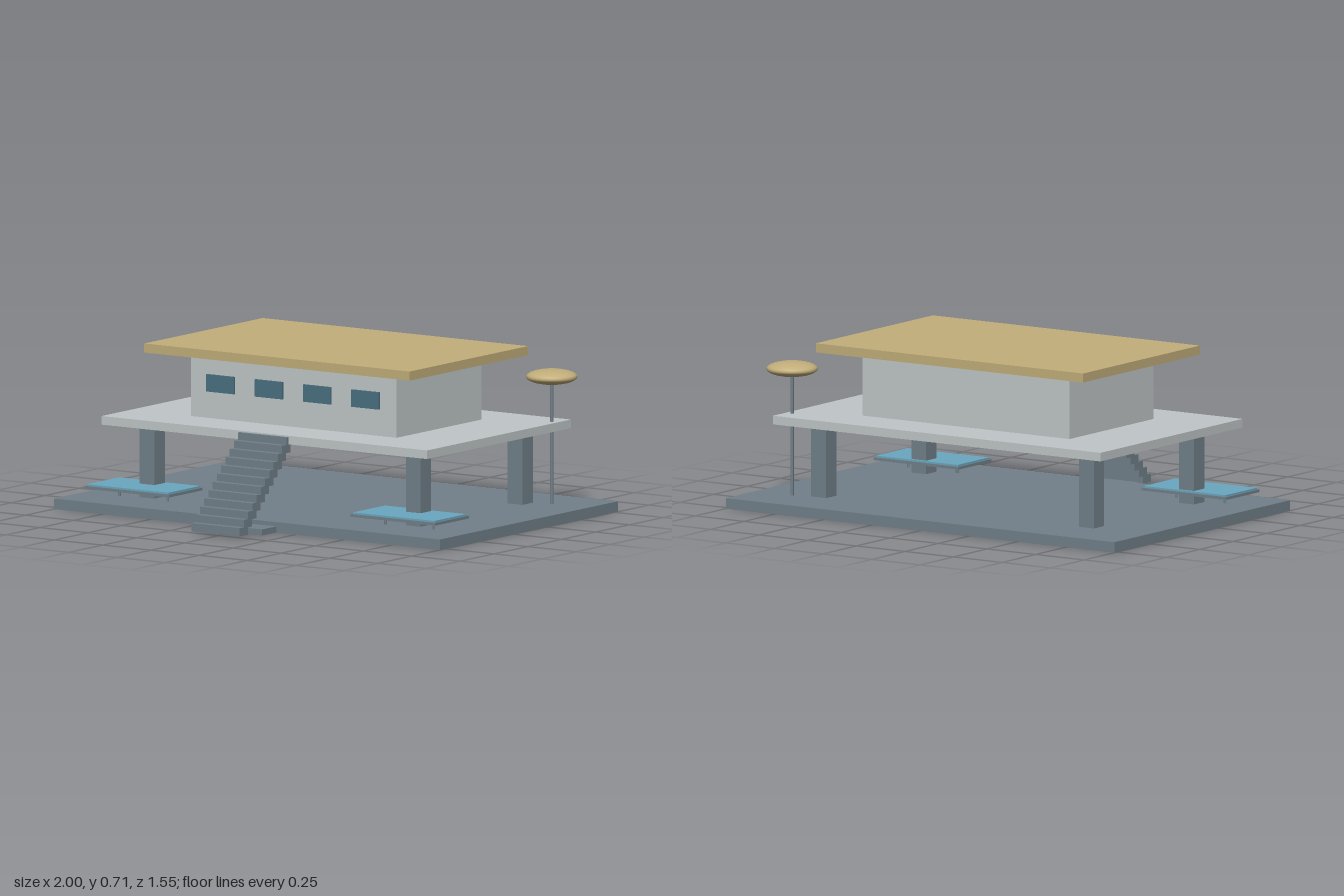
import * as THREE from 'three';

const mat = (name, color) => {
  const m = new THREE.MeshStandardMaterial({ color });
  m.name = name;
  return m;
};

export function createModel() {
  const slate = mat('slate', 0x72808a);
  const concrete = mat('pale concrete', 0xc0c6c8);
  const tan = mat('tan', 0xc2ae7a);
  const water = mat('water blue', 0x6aa8c0);
  const glass = mat('window teal', 0x4a7080);

  const model = new THREE.Group();
  model.name = 'raisedPavilion';

  const add = (name, geometry, material, x, y, z, parent = model) => {
    const mesh = new THREE.Mesh(geometry, material);
    mesh.name = name;
    mesh.position.set(x, y, z);
    parent.add(mesh);
    return mesh;
  };
  // Box centred on x, spanning y0..y1 and z0..z1
  const box = (name, material, x, width, y0, y1, z0, z1, parent) =>
    add(name, new THREE.BoxGeometry(width, y1 - y0, z1 - z0), material,
      x, (y0 + y1) / 2, (z0 + z1) / 2, parent);

  // Ground slab and entrance pad
  box('base', slate, 0, 2, 0, 0.045, -0.773, 0.541);
  box('entrancePad', slate, 0, 0.305, 0.001, 0.027, 0.541, 0.647);

  // Raised deck, house and roof
  box('deck', concrete, 0, 1.685, 0.36, 0.397, -0.649, 0.413);
  box('house', concrete, 0, 1.066, 0.397, 0.671, -0.43, 0.196);
  box('roof', tan, 0, 1.374, 0.671, 0.71, -0.554, 0.32);

  // Front windows
  for (const x of [-0.375, -0.125, 0.125, 0.375]) {
    box('window', glass, x, 0.143, 0.511, 0.585, 0.196, 0.2055);
  }

  // Columns, pools and pool legs, mirrored left and right
  for (const side of [-1, 1]) {
    const x = side * 0.689;
    for (const z of [0.257, -0.493]) {
      box('column', slate, x, 0.077, 0.045, 0.36, z - 0.039, z + 0.039);
    }
    const pool = new THREE.Group();
    pool.name = 'pool';
    model.add(pool);
    box('poolTray', slate, x, 0.437, 0.084, 0.096, 0.197, 0.446, pool);
    box('poolWater', water, x, 0.421, 0.096, 0.103, 0.204, 0.439, pool);
    for (const dx of [-0.125, 0.125]) {
      add('poolLeg', new THREE.CylinderGeometry(0.006, 0.006, 0.04, 10), slate,
        x + dx, 0.065, 0.322, pool);
    }
  }

  // Open stair of overlapping treads
  const stairs = new THREE.Group();
  stairs.name = 'stairs';
  model.add(stairs);
  for (let i = 0; i < 12; i++) {
    const top = 0.046 + i * 0.0314;
    const front = 0.773 - i * 0.0313;
    box('tread', slate, 0, 0.25, top - 0.036, top, front - 0.061, front, stairs);
  }

  // Dish lamp on a thin pole
  const lamp = new THREE.Group();
  lamp.name = 'lamp';
  lamp.position.set(0.809, 0, -0.555);
  model.add(lamp);
  add('lampPole', new THREE.CylinderGeometry(0.0075, 0.0075, 0.53, 12), slate, 0, 0.31, 0, lamp);
  const dish = new THREE.SphereGeometry(0.11, 24, 12);
  dish.scale(1, 0.29, 1);
  add('lampDish', dish, tan, 0, 0.59, 0, lamp);

  return model;
}
